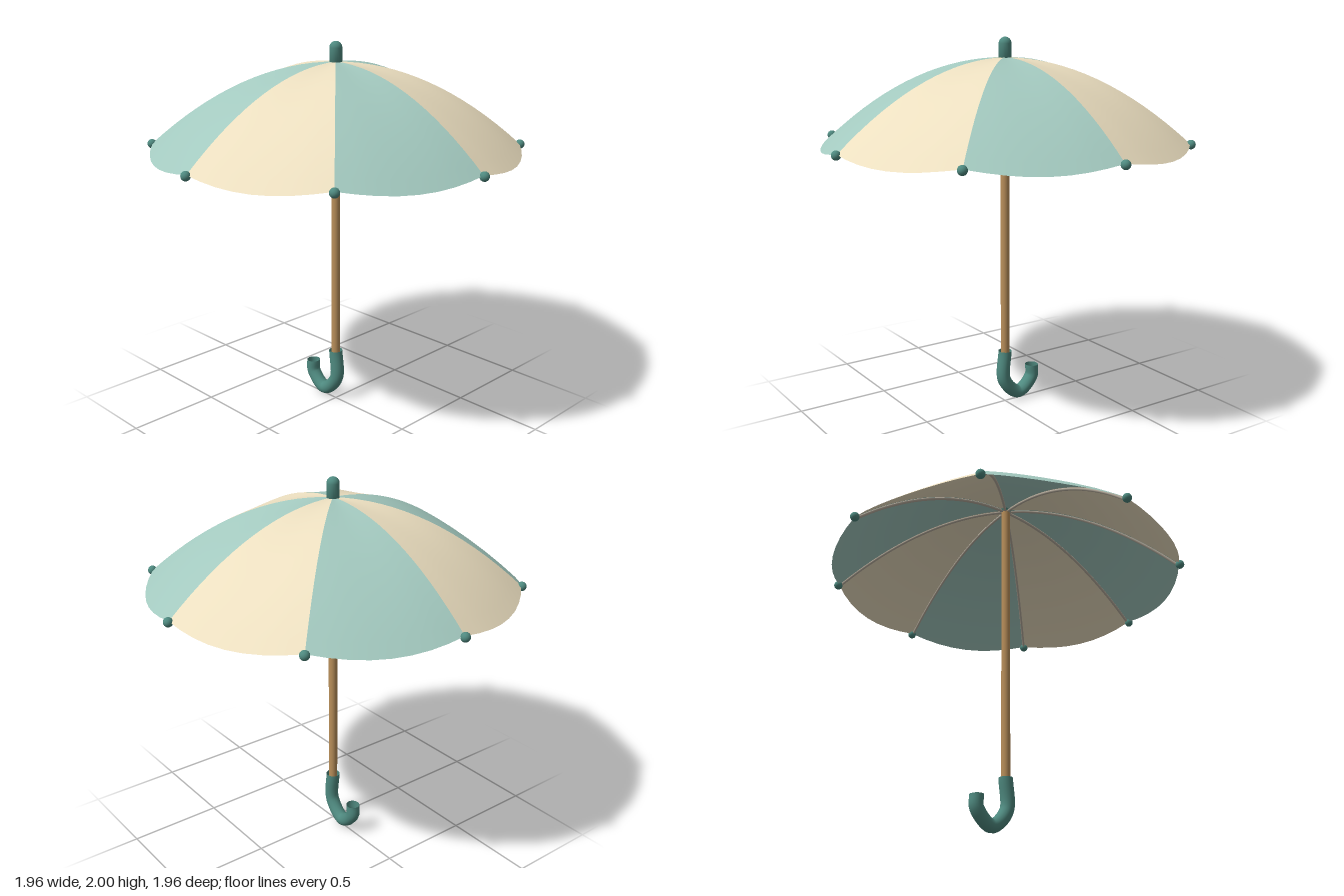
import * as THREE from 'three';

const RIBS = 8, RADIUS = 0.952, APEX = 1.897, DROP = 0.422, SAG = 0.033;
const mat = (color, side = THREE.FrontSide) => new THREE.MeshStandardMaterial({ color, side });

// Point on the canopy: t runs from apex to rim, a is the angle, s the place across a panel (0..1)
function canopyPoint(t, a, s = 0) {
  const y = APEX - DROP * t * t - SAG * t * Math.sin(Math.PI * s);
  return new THREE.Vector3(Math.cos(a) * RADIUS * t, y, Math.sin(a) * RADIUS * t);
}

// One sagging cloth panel between two ribs
function panelGeometry(a0, step) {
  const rows = 16, cols = 8, pos = [], index = [];
  for (let i = 0; i <= rows; i++) {
    for (let j = 0; j <= cols; j++) {
      const s = j / cols;
      pos.push(...canopyPoint(Math.max(i / rows, 0.002), a0 + step * s, s).toArray());
      if (i < rows && j < cols) {
        const p = i * (cols + 1) + j, q = p + cols + 1;
        index.push(p, p + 1, q, p + 1, q + 1, q);
      }
    }
  }
  const g = new THREE.BufferGeometry();
  g.setAttribute('position', new THREE.Float32BufferAttribute(pos, 3));
  g.setIndex(index);
  g.computeVertexNormals();
  return g;
}

export function createModel() {
  const group = new THREE.Group();
  const add = (name, geometry, material, y = 0) => {
    const mesh = new THREE.Mesh(geometry, material);
    mesh.name = name;
    mesh.position.y = y;
    group.add(mesh);
    return mesh;
  };

  const teal = mat(0xa3c9bf, THREE.DoubleSide), cream = mat(0xecdfc0, THREE.DoubleSide);
  const darkTeal = mat(0x4f8a80), darkTealOpen = mat(0x4f8a80, THREE.DoubleSide);
  const wood = mat(0xb98f5a), metal = mat(0xb5ab9c);

  // Canopy panels, ribs beneath the seams and a bead on each rib end
  const step = (Math.PI * 2) / RIBS;
  const beadGeometry = new THREE.SphereGeometry(0.024, 16, 12);
  for (let k = 0; k < RIBS; k++) {
    const a = k * step;
    add('canopyPanel', panelGeometry(a, step), k % 2 ? cream : teal);

    const points = [];
    for (let i = 0; i <= 8; i++) {
      const p = canopyPoint(0.02 + 0.98 * i / 8, a);
      p.y -= 0.012;
      points.push(p);
    }
    add('rib', new THREE.TubeGeometry(new THREE.CatmullRomCurve3(points), 24, 0.008, 6), metal);

    add('ribTip', beadGeometry, darkTeal).position.copy(canopyPoint(1.004, a));
  }

  // Shaft
  add('shaft', new THREE.CylinderGeometry(0.0235, 0.0235, 1.64, 20), wood, 1.07);

  // Ferrule with a domed top
  const profile = [new THREE.Vector2(0, 1.885), new THREE.Vector2(0.033, 1.885)];
  for (let i = 0; i <= 8; i++) {
    const a = (i / 8) * Math.PI / 2;
    profile.push(new THREE.Vector2(0.033 * Math.cos(a), 1.967 + 0.033 * Math.sin(a)));
  }
  add('ferrule', new THREE.LatheGeometry(profile, 24), darkTeal);

  // Hooked handle
  const hook = new THREE.CatmullRomCurve3([
    [0, 0.3], [0.005, 0.13], [-0.09, 0.041], [-0.178, 0.115], [-0.18, 0.183],
  ].map(([x, y]) => new THREE.Vector3(x, y, 0)));
  add('handle', new THREE.TubeGeometry(hook, 40, 0.037, 16), darkTealOpen);

  return group;
}
